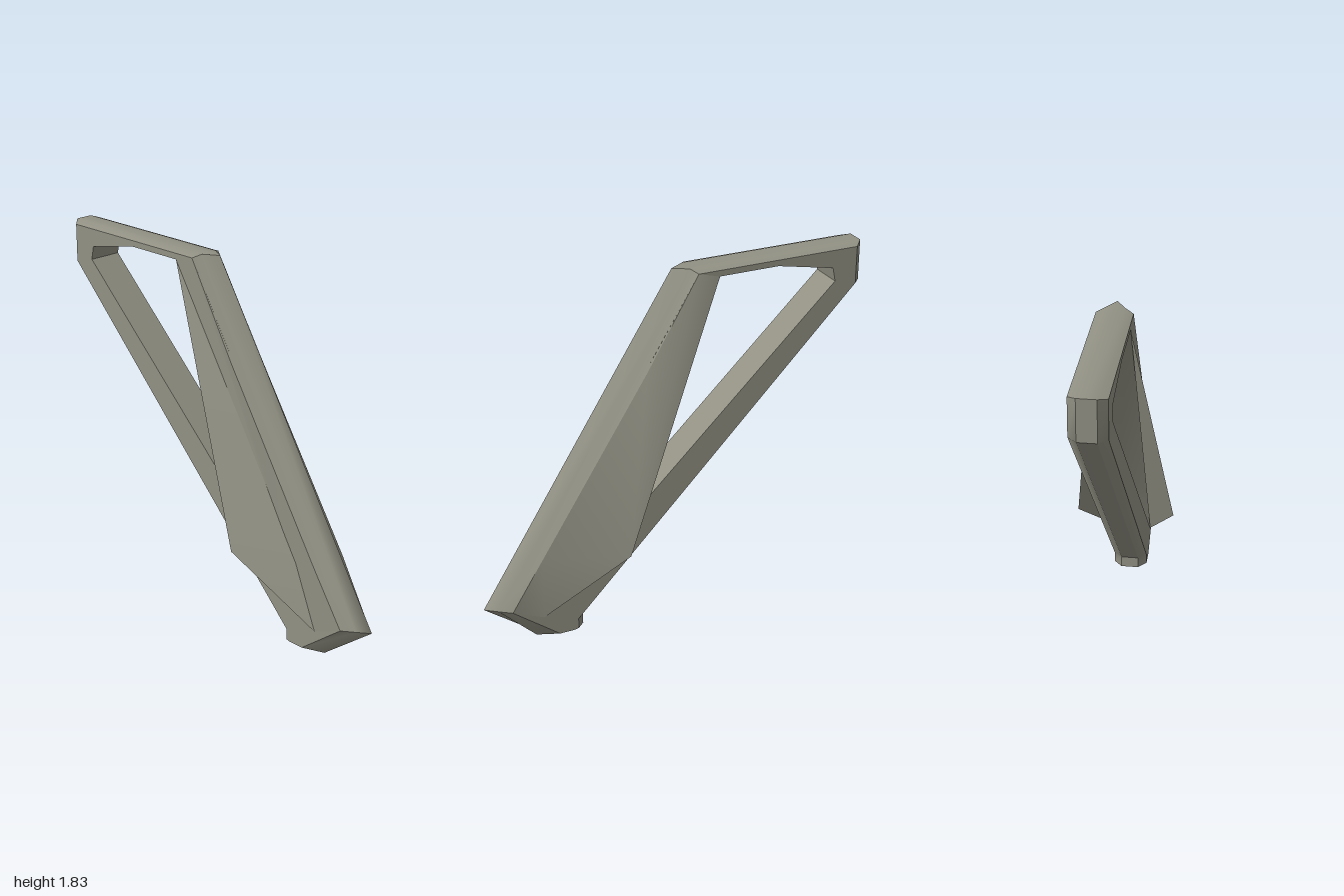
import * as THREE from 'three';
import { toCreasedNormals } from 'three/addons/utils/BufferGeometryUtils.js';

const material = new THREE.MeshStandardMaterial({ color: 0x929184, side: THREE.DoubleSide });
const HALF = 0.087, BEVEL = 0.045;

// Outlines as [z, y], clockwise seen from +x; the first edge is the nose
const rear = [[-1, 1.825], [-1, 1.62], [0.5, 0.08], [0.5, 0.02], [0.54, 0], [0.64, 0], [0.75, 0.02]];
const ridge = [[1, 0.21], [-0.01, 1.825], ...rear];
const bevel = [[0.94, 0.21], [-0.085, 1.825], ...rear];
const side = [[0.88, 0.21], [-0.11, 1.81], [-0.96, 1.81], [-0.96, 1.62], [0.54, 0.08],
  [0.54, 0.025], [0.56, 0.02], [0.61, 0.02], [0.64, 0.02]];
// Opening, counter-clockwise seen from +x; the first two edges run behind the nose
const opening = [[-0.22, 1.78], [0.6, 0.46], [0.72, 0.14], [-0.845, 1.65], [-0.83, 1.72], [-0.53, 1.78]];

const at = (x, loop) => loop.map(([z, y]) => [x, y, z]);
const mirror = (polygons) => polygons.map((p) => p.map(([x, y, z]) => [-x, y, z]).reverse());

// Fan each polygon into triangles, smoothing edges below the crease angle
function fromPolygons(name, polygons, crease) {
  const positions = [];
  for (const p of polygons) {
    for (let i = 1; i < p.length - 1; i++) positions.push(...p[0], ...p[i], ...p[i + 1]);
  }
  const geometry = new THREE.BufferGeometry();
  geometry.setAttribute('position', new THREE.Float32BufferAttribute(positions, 3));
  const mesh = new THREE.Mesh(toCreasedNormals(geometry, crease), material);
  mesh.name = name;
  return mesh;
}

// Quads joining consecutive closed loops, starting at a given edge
function bands(loops, first = 0) {
  const quads = [];
  for (let k = 0; k < loops.length - 1; k++) {
    const a = loops[k], b = loops[k + 1];
    for (let i = first; i < a.length; i++) {
      const j = (i + 1) % a.length;
      quads.push([a[i], b[i], b[j], a[j]]);
    }
  }
  return quads;
}

// Flat cheek with the opening cut out
function cheek(name, sign) {
  const points = (loop) => loop.map(([z, y]) => new THREE.Vector2(-sign * z, y));
  const shape = new THREE.Shape(points(side));
  shape.holes.push(new THREE.Path(points(opening)));
  const geometry = new THREE.ShapeGeometry(shape);
  geometry.rotateY(sign * Math.PI / 2).translate(sign * HALF, 0, 0);
  const mesh = new THREE.Mesh(geometry, material);
  mesh.name = name;
  return mesh;
}

export function createModel() {
  const model = new THREE.Group();
  model.name = 'slantedFrame';

  // Corners of the left half
  const [base, top] = at(HALF, side);
  const [noseBase, noseTop] = at(BEVEL, bevel);
  const [ridgeBase, ridgeTop] = at(0, ridge);
  const [crown, hollow, heel] = at(HALF, opening);
  const upper = [0.096, 1.36, 0.16], lower = [0.1, 0.48, 0.72], tip = [0.25, 0.48, 0.32];

  // Bevelled rim and cheeks
  model.add(fromPolygons('frameRim', bands([
    at(-HALF, side), at(-BEVEL, bevel), at(0, ridge), at(BEVEL, bevel), at(HALF, side),
  ], 1), 0.7));
  model.add(cheek('leftCheek', 1), cheek('rightCheek', -1));

  // Rounded nose
  const nose = [
    [ridgeBase, noseBase, noseTop, ridgeTop],
    [top, noseTop, upper], [noseTop, lower, upper], [noseTop, noseBase, lower], [noseBase, base, lower],
  ];
  model.add(fromPolygons('nose', [...nose, ...mirror(nose)], 2));

  // Outer faces of the flared fins, widest at the tip
  const fin = [[tip, crown, top, upper, lower, heel], [lower, base, heel]];
  model.add(fromPolygons('leftFin', fin, 0.5), fromPolygons('rightFin', mirror(fin), 0.5));

  // Opening walls, flaring out into the backs of the fins
  const finBack = [[crown, tip, hollow], [tip, heel, hollow]];
  model.add(fromPolygons('openingWalls', [
    ...bands([at(-HALF, opening), at(HALF, opening)]), ...finBack, ...mirror(finBack),
  ], 0.9));
  return model;
}
